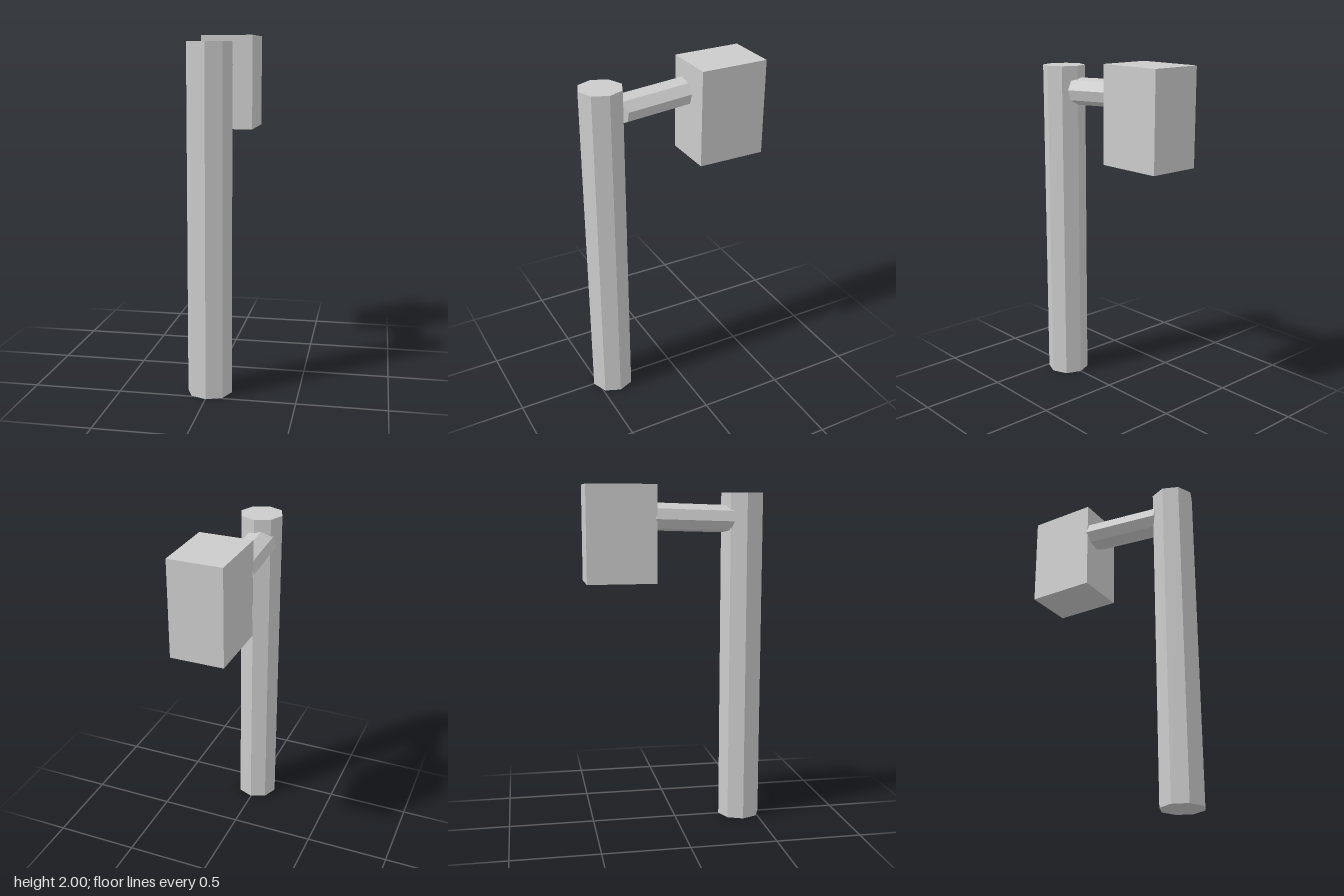
import * as THREE from 'three';

export function createModel() {
  const group = new THREE.Group();
  const material = new THREE.MeshStandardMaterial({ color: 0xcccccc, flatShading: true });
  const add = (name, geometry, x = 0, y = 0, z = 0) => {
    const mesh = new THREE.Mesh(geometry, material);
    mesh.name = name;
    mesh.position.set(x, y, z);
    group.add(mesh);
  };

  // Upright octagonal post
  add('post', new THREE.CylinderGeometry(0.126, 0.126, 1.955, 8), 0.002, 0.9775, 0.401);

  // Box head behind the post
  add('head', new THREE.BoxGeometry(0.308, 0.555, 0.4), 0.002, 1.7225, -0.326);

  // Slanted, slightly flattened octagonal arm with oblique ends
  const arm = new THREE.CylinderGeometry(1, 1, 1, 8);
  arm.rotateX(Math.PI / 2).rotateZ(THREE.MathUtils.degToRad(9));
  const p = arm.attributes.position;
  for (let i = 0; i < p.count; i++) {
    const u = p.getX(i), v = p.getY(i);
    const z = 0.071 + 0.462 * p.getZ(i) - 0.029 * u + 0.008 * v;
    p.setXYZ(i, -0.047 + 0.093 * z + 0.1 * u, 1.815 - 0.034 * z + 0.08 * v, z);
  }
  arm.computeVertexNormals();
  add('arm', arm);

  return group;
}
